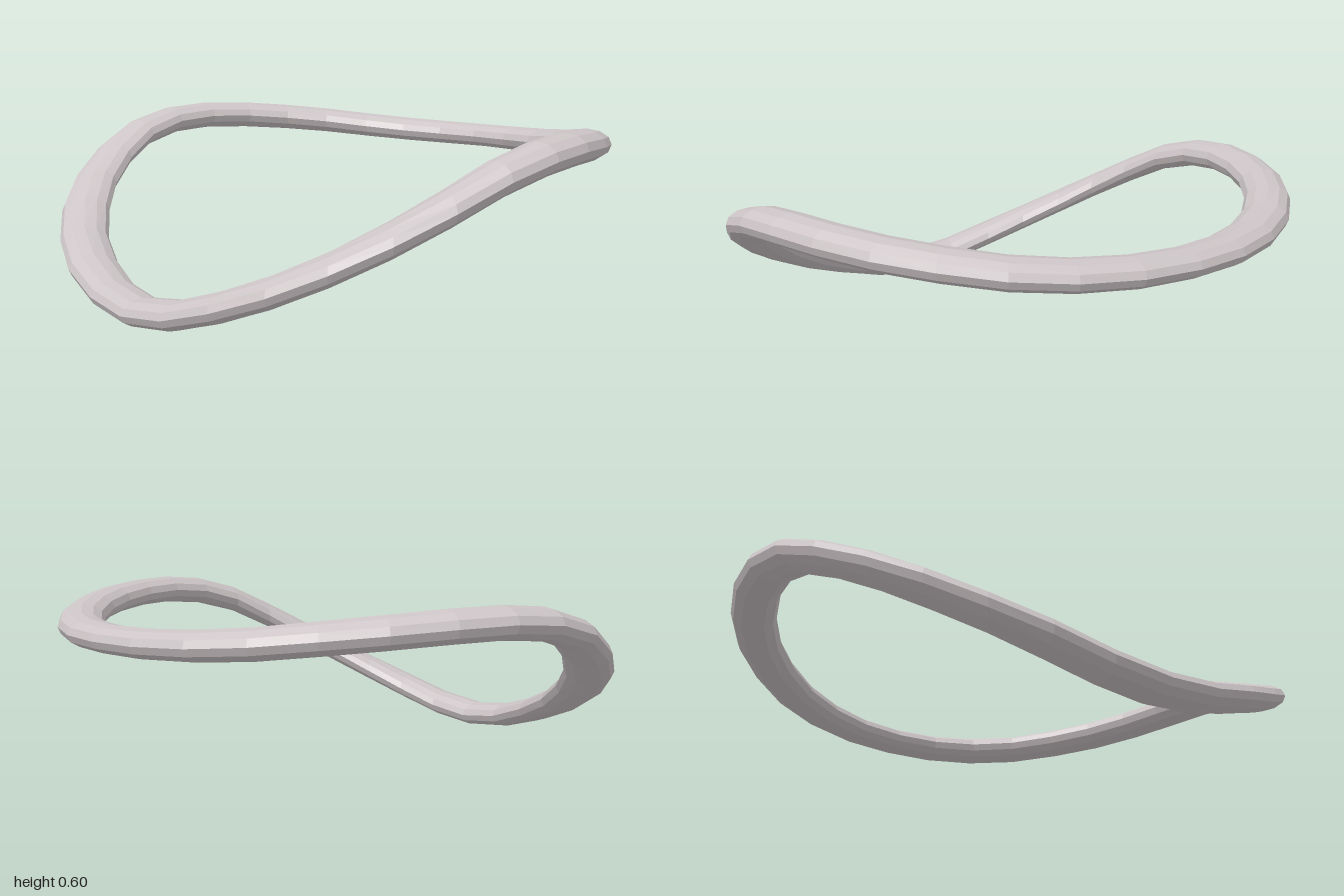
import * as THREE from 'three';

// Half of the ring from back centre (0) to front centre (16), one entry per step of 11.25 degrees
const OUTER_Z = [-0.915, -0.895, -0.835, -0.74, -0.61, -0.46, -0.285, -0.1, 0.08, 0.265, 0.43, 0.58, 0.705, 0.8, 0.868, 0.9, 0.912];
const INNER_Z = [-0.76, -0.742, -0.69, -0.61, -0.502, -0.375, -0.232, -0.08, 0.075, 0.225, 0.36, 0.48, 0.577, 0.66, 0.712, 0.745, 0.755];
const HEIGHT = [0.48, 0.481, 0.487, 0.5, 0.519, 0.535, 0.548, 0.553, 0.54, 0.497, 0.422, 0.34, 0.26, 0.185, 0.121, 0.068, 0.046];

const STEPS = 32;
const SIDES = 12;

// Closed band of oval cross-sections, mirrored left to right
function bentRingGeometry() {
  const positions = [];
  const indices = [];
  for (let i = 0; i < STEPS; i++) {
    const k = i <= STEPS / 2 ? i : STEPS - i;
    const s = Math.sin((i / STEPS) * Math.PI * 2);
    const halfHeight = 0.045 + 0.007 * Math.abs(s);
    for (let j = 0; j < SIDES; j++) {
      const a = (j / SIDES) * Math.PI * 2;
      const t = 0.5 + 0.5 * Math.cos(a); // 0 at the inner edge, 1 at the outer edge
      positions.push(
        s * THREE.MathUtils.lerp(0.84, 1, t),
        HEIGHT[k] + halfHeight * Math.sin(a),
        THREE.MathUtils.lerp(INNER_Z[k], OUTER_Z[k], t)
      );
      const i2 = (i + 1) % STEPS;
      const j2 = (j + 1) % SIDES;
      const p = i * SIDES + j, q = i2 * SIDES + j;
      const r = i2 * SIDES + j2, u = i * SIDES + j2;
      indices.push(p, u, r, p, r, q);
    }
  }
  const geometry = new THREE.BufferGeometry();
  geometry.setAttribute('position', new THREE.Float32BufferAttribute(positions, 3));
  geometry.setIndex(indices);
  geometry.computeVertexNormals();
  return geometry;
}

export function createModel() {
  const group = new THREE.Group();
  group.name = 'bentRing';
  const material = new THREE.MeshStandardMaterial({ color: 0xccc4c6, flatShading: true });
  const ring = new THREE.Mesh(bentRingGeometry(), material);
  ring.name = 'ring';
  group.add(ring);
  return group;
}
